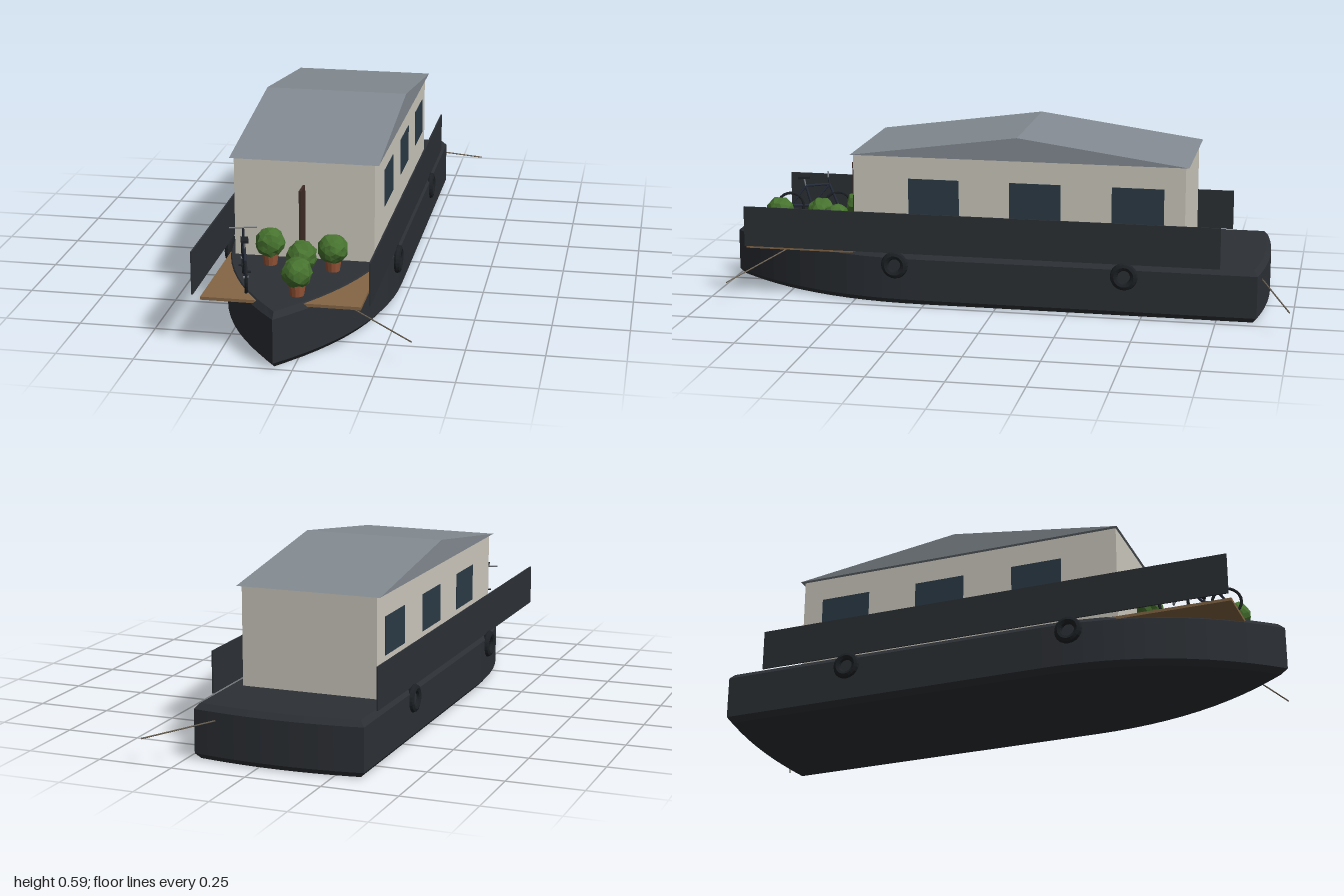
import * as THREE from 'three';

const CX = -0.06; // centreline of the boat
const DECK = 0.18;
const V = (x, y, z) => new THREE.Vector3(x, y, z);
const mat = (color) => new THREE.MeshStandardMaterial({ color, flatShading: true });
const M = {
  hull: mat(0x2c3035), wall: mat(0xcdc9be), roof: mat(0x838b92), glass: mat(0x2b3a46),
  wood: mat(0x856645), door: mat(0x3f2c26), black: mat(0x1d2125), frame: mat(0x252c3a),
  grey: mat(0x777c82), pot: mat(0x9a5638), leaf: mat(0x47732f), rope: mat(0x6d6354),
};

function add(parent, name, geometry, material, x = 0, y = 0, z = 0) {
  const mesh = new THREE.Mesh(geometry, material);
  mesh.name = name;
  mesh.position.set(x, y, z);
  parent.add(mesh);
  return mesh;
}

const box = (parent, name, material, w, h, d, x, y, z) =>
  add(parent, name, new THREE.BoxGeometry(w, h, d), material, x, y, z);

// Straight round bar between two points
function bar(parent, name, material, a, b, r, sides = 8) {
  const mesh = add(parent, name, new THREE.CylinderGeometry(r, r, a.distanceTo(b), sides), material);
  mesh.position.copy(a).lerp(b, 0.5);
  mesh.quaternion.setFromUnitVectors(V(0, 1, 0), b.clone().sub(a).normalize());
  return mesh;
}

// Plan outline with pointed bow and bowed stern, extruded upward with chamfers
function hullGeometry() {
  const w = 0.285;
  const s = new THREE.Shape(); // shape y is -z
  s.moveTo(-w, 0.885);
  s.lineTo(-w, -0.26);
  s.quadraticCurveTo(-w, -0.68, 0, -1);
  s.quadraticCurveTo(w, -0.68, w, -0.26);
  s.lineTo(w, 0.885);
  s.quadraticCurveTo(0, 0.935, -w, 0.885);
  const g = new THREE.ExtrudeGeometry(s, {
    depth: DECK - 0.036, bevelThickness: 0.018, bevelSize: 0.016, bevelOffset: -0.016,
    bevelSegments: 1, curveSegments: 12,
  });
  return g.rotateX(-Math.PI / 2).translate(0, 0.018, 0);
}

// Gable with its ridge running across the boat
function roofGeometry() {
  const s = new THREE.Shape([[-0.512, 0], [0.648, 0], [0.068, 0.08]].map((p) => new THREE.Vector2(...p)));
  const g = new THREE.ExtrudeGeometry(s, { depth: 0.49, bevelEnabled: false });
  return g.translate(0, 0, -0.245).rotateY(Math.PI / 2);
}

// Faceted bush: vertices pushed in and out by a rule on their position
function bushGeometry(seed) {
  const g = new THREE.IcosahedronGeometry(0.048, 2);
  const p = g.attributes.position;
  const v = V(0, 0, 0);
  for (let i = 0; i < p.count; i++) {
    v.fromBufferAttribute(p, i);
    const n = Math.sin(v.x * 151 + seed) * Math.sin(v.y * 173 + seed * 2) + Math.sin(v.z * 197 + seed * 3);
    v.multiplyScalar(1 + 0.06 * n);
    p.setXYZ(i, v.x, v.y, v.z);
  }
  g.computeVertexNormals();
  return g;
}

function plant(x, z, seed) {
  const g = new THREE.Group();
  g.name = 'pottedPlant';
  g.position.set(x, DECK, z);
  add(g, 'pot', new THREE.CylinderGeometry(0.03, 0.022, 0.05, 12), M.pot, 0, 0.025, 0);
  add(g, 'bush', bushGeometry(seed), M.leaf, 0, 0.073, 0);
  return g;
}

// Bicycle facing local +z
function bicycle() {
  const g = new THREE.Group();
  g.name = 'bicycle';
  const rear = V(0, 0.052, -0.086), front = V(0, 0.052, 0.086);
  const crank = V(0, 0.052, -0.01), seatTop = V(0, 0.125, -0.03), head = V(0, 0.13, 0.056);
  for (const hub of [rear, front]) {
    add(g, 'wheel', new THREE.TorusGeometry(0.047, 0.005, 6, 24).rotateY(Math.PI / 2), M.black, 0, hub.y, hub.z);
    bar(g, 'hub', M.grey, V(-0.008, hub.y, hub.z), V(0.008, hub.y, hub.z), 0.004);
  }
  const tubes = [[rear, crank], [rear, seatTop], [crank, seatTop], [crank, head], [seatTop, head], [front, head]];
  for (const [a, b] of tubes) bar(g, 'frameTube', M.frame, a, b, 0.0045);
  bar(g, 'seatPost', M.grey, seatTop, V(0, 0.154, -0.036), 0.003);
  box(g, 'saddle', M.black, 0.024, 0.008, 0.042, 0, 0.156, -0.036);
  bar(g, 'stem', M.frame, head, V(0, 0.166, 0.052), 0.0035);
  bar(g, 'handlebar', M.grey, V(-0.044, 0.166, 0.052), V(0.044, 0.166, 0.052), 0.0025);
  for (const s of [-1, 1]) box(g, 'pedal', M.black, 0.014, 0.004, 0.01, s * 0.012, 0.052 + s * 0.012, -0.01);
  g.position.set(-0.201, DECK, 0.757);
  g.rotation.y = Math.atan2(-0.27, -0.96);
  return g;
}

export function createModel() {
  const boat = new THREE.Group();
  boat.name = 'houseboat';

  add(boat, 'hull', hullGeometry(), M.hull, CX);
  box(boat, 'foredeckBoards', M.wood, 0.505, 0.01, 0.415, CX, 0.171, 0.68);

  // Cabin
  box(boat, 'cabin', M.wall, 0.462, 0.33, 1.14, CX, DECK + 0.165, -0.066);
  add(boat, 'roof', roofGeometry(), M.roof, CX, 0.51, 0);
  box(boat, 'openDoor', M.door, 0.008, 0.25, 0.066, CX, DECK + 0.125, 0.538);

  // Both sides: bulwark, windows and tyre fenders
  for (const s of [-1, 1]) {
    box(boat, 'bulwark', M.hull, 0.005, 0.14, 1.645, CX + s * 0.279, DECK + 0.07, 0.0625);
    for (const z of [0.223, -0.127, -0.477])
      box(boat, 'window', M.glass, 0.005, 0.126, 0.176, CX + s * 0.231, 0.369, z);
    for (const z of [0.35, -0.44])
      add(boat, 'tyreFender', new THREE.TorusGeometry(0.034, 0.0135, 8, 20).rotateY(Math.PI / 2),
        M.black, CX + s * 0.284, 0.139, z);
  }

  // Mooring ropes
  bar(boat, 'bowRope', M.rope, V(0.07, 0.153, 0.75), V(0.353, 0.083, 0.91), 0.0025, 6);
  bar(boat, 'sternRope', M.rope, V(0.1, 0.146, -0.872), V(0.353, 0.083, -0.998), 0.0025, 6);

  // Foredeck clutter
  [[-0.158, 0.575], [0.052, 0.6], [-0.033, 0.68], [-0.018, 0.83]].forEach(([x, z], i) =>
    boat.add(plant(x, z, i * 1.7 + 0.5)));
  boat.add(bicycle());

  return boat;
}
